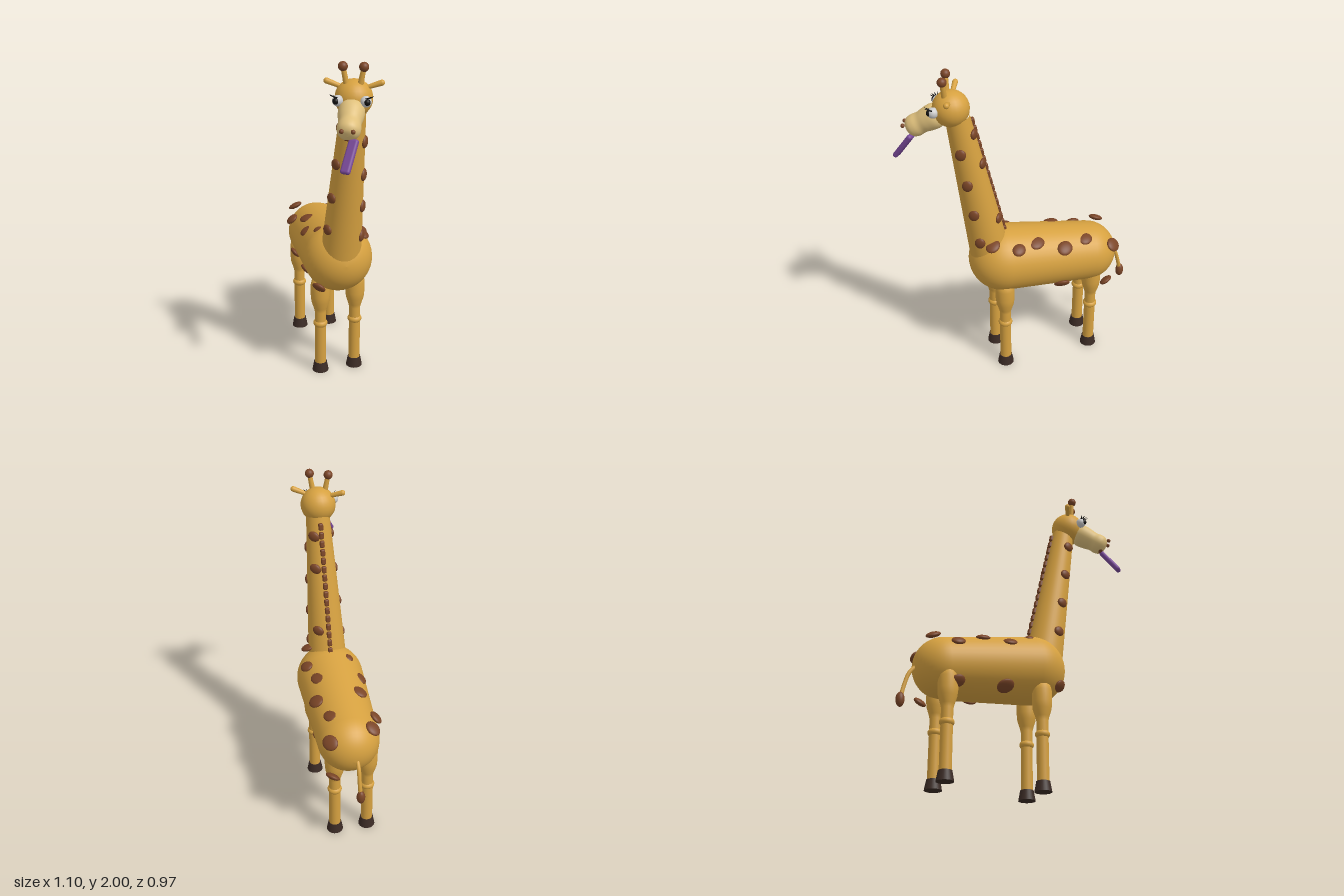
import * as THREE from 'three';
import { RoundedBoxGeometry } from 'three/addons/geometries/RoundedBoxGeometry.js';

const V = (x, y, z) => new THREE.Vector3(x, y, z);
const UP = V(0, 1, 0);
const mat = (color) => new THREE.MeshStandardMaterial({ color });

export function createModel() {
  const model = new THREE.Group();
  const coat = mat(0xd6a140), brown = mat(0x7a4527), hoofMat = mat(0x3b2b25);
  const cream = mat(0xdfc07c), purple = mat(0x7a4a9a), white = mat(0xeeeeee), black = mat(0x111111);

  const add = (name, geometry, material, pos, parent = model) => {
    const mesh = new THREE.Mesh(geometry, material);
    mesh.name = name;
    mesh.position.copy(pos);
    parent.add(mesh);
    return mesh;
  };
  const aim = (mesh, dir) => {
    mesh.quaternion.setFromUnitVectors(UP, dir.clone().normalize());
    return mesh;
  };
  const ball = (name, r, material, pos, parent) =>
    add(name, new THREE.SphereGeometry(r, 24, 16), material, pos, parent);
  // Tapered capsule between two sphere centres
  const limb = (name, a, b, ra, rb, material, parent) => {
    const d = b.clone().sub(a), len = d.length(), pts = [], n = 12;
    const tilt = Math.asin((ra - rb) / len);
    for (let i = 0; i <= n; i++) {
      const t = -Math.PI / 2 + (i / n) * (Math.PI / 2 + tilt);
      pts.push(new THREE.Vector2(Math.max(0, ra * Math.cos(t)), ra * Math.sin(t)));
    }
    for (let i = 0; i <= n; i++) {
      const t = tilt + (i / n) * (Math.PI / 2 - tilt);
      pts.push(new THREE.Vector2(Math.max(0, rb * Math.cos(t)), len + rb * Math.sin(t)));
    }
    return aim(add(name, new THREE.LatheGeometry(pts, 40), material, a, parent), d);
  };
  // Flattened oval patch lying across a normal
  const patch = (name, pos, normal, r, thick = 0.017) => {
    const m = aim(ball(name, 1, brown, pos), normal);
    m.scale.set(r, thick, r * 0.86);
    return m;
  };

  // Body
  const rump = V(-0.31, 0.69, -0.27), chest = V(0.125, 0.755, 0.045);
  limb('body', rump, chest, 0.182, 0.205, coat);

  // Neck
  const neckLow = V(0.185, 0.8, 0.09), neckHigh = V(0.335, 1.75, 0.175);
  const neckDir = neckHigh.clone().sub(neckLow);
  const neckLen = neckDir.length();
  const neckR = (t) => 0.12 - 0.052 * t;
  const neckPts = [];
  for (let i = 0; i <= 8; i++) neckPts.push(new THREE.Vector2(neckR(i / 8), (i / 8) * neckLen));
  aim(add('neck', new THREE.LatheGeometry(neckPts, 40), coat, neckLow), neckDir);
  // Point on the neck surface at a height and heading
  const onNeck = (y, hx, hz, lift = 0) => {
    const t = (y - neckLow.y) / (neckHigh.y - neckLow.y);
    const out = V(hx, 0, hz).normalize();
    return { out, pos: neckLow.clone().lerp(neckHigh, t).addScaledVector(out, neckR(t) + lift) };
  };

  // Mane
  for (let i = 0; i < 16; i++) {
    const { pos } = onNeck(0.96 + i * 0.05, -0.82, -0.57, 0.004);
    const tuft = aim(add('maneTuft', new RoundedBoxGeometry(0.028, 0.042, 0.028, 3, 0.009), brown, pos), neckDir);
    tuft.rotateY(0.967);
  }

  // Neck patches: front right row, left row, back row
  const neckRows = [
    [-0.28, 0.96, [1.0, 1.205, 1.415, 1.63]],
    [1, -0.4, [0.95, 1.145, 1.345, 1.545]],
    [-0.35, -0.94, [1.08, 1.46, 1.65]],
  ];
  for (const [hx, hz, heights] of neckRows)
    for (const y of heights) {
      const { pos, out } = onNeck(y, hx, hz);
      patch('neckPatch', pos, out, 0.036);
    }

  // Body patches: x, y, z, radius
  const patches = [
    [-0.335, 0.79, -0.45, 0.05], [-0.22, 0.845, -0.32, 0.048], [-0.465, 0.835, -0.235, 0.048],
    [-0.385, 0.8, -0.115, 0.044], [-0.215, 0.87, -0.065, 0.048], [-0.065, 0.845, -0.28, 0.05],
    [0.04, 0.89, -0.145, 0.054], [0.17, 0.895, -0.115, 0.043], [-0.11, 0.855, 0.055, 0.048],
    [0.025, 0.915, 0.1, 0.034], [0.27, 0.93, 0, 0.046], [0.14, 0.625, 0.235, 0.043],
    [-0.37, 0.565, -0.125, 0.044], [-0.13, 0.58, 0.035, 0.052], [-0.065, 0.575, -0.265, 0.05],
    [-0.325, 0.51, -0.42, 0.045],
  ];
  const spine = new THREE.Line3(rump, chest);
  for (const [x, y, z, r] of patches) {
    const pos = V(x, y, z);
    const normal = pos.clone().sub(spine.closestPointToPoint(pos, true, V(0, 0, 0)));
    if (normal.y > 0) normal.y *= 1.8;
    patch('bodyPatch', pos, normal, r);
  }

  // Legs
  const legProfile = [
    [0.035, 0.05], [0.034, 0.41], [0.04, 0.435], [0.054, 0.48], [0.058, 0.52],
    [0.058, 0.59], [0.05, 0.622], [0.03, 0.642], [0, 0.65],
  ].map(([r, y]) => new THREE.Vector2(r, y));
  const legs = [
    ['frontRightLeg', 0.078, 0.15], ['frontLeftLeg', 0.2, -0.03],
    ['backRightLeg', -0.385, -0.18], ['backLeftLeg', -0.27, -0.345],
  ];
  for (const [name, x, z] of legs) {
    const leg = new THREE.Group();
    leg.name = name;
    leg.position.set(x, 0, z);
    model.add(leg);
    add('shank', new THREE.LatheGeometry(legProfile, 28), coat, V(0, 0, 0), leg);
    ball('knee', 0.043, coat, V(0, 0.33, 0), leg).scale.y = 0.68;
    add('hoof', new THREE.CylinderGeometry(0.039, 0.05, 0.06, 28), hoofMat, V(0, 0.03, 0), leg);
  }

  // Tail
  const tailCurve = new THREE.CatmullRomCurve3([
    V(-0.44, 0.69, -0.345), V(-0.485, 0.63, -0.375), V(-0.505, 0.56, -0.39), V(-0.523, 0.47, -0.4)]);
  add('tail', new THREE.TubeGeometry(tailCurve, 20, 0.012, 10), coat, V(0, 0, 0));
  ball('tailTuft', 0.025, brown, V(-0.525, 0.462, -0.4)).scale.y = 1.75;

  // Head, turned towards the front
  const head = new THREE.Group();
  head.name = 'head';
  head.position.set(0.355, 1.8, 0.2);
  head.rotation.y = 0.55;
  model.add(head);
  ball('skull', 0.102, coat, V(0, 0, 0), head);

  // Muzzle with slightly pinched middle
  const muzzlePts = new THREE.SplineCurve([
    [0, 0], [0.05, 0.005], [0.07, 0.04], [0.067, 0.09], [0.06, 0.13],
    [0.063, 0.165], [0.057, 0.195], [0.035, 0.216], [0, 0.222],
  ].map(([r, y]) => new THREE.Vector2(r, y))).getPoints(36);
  muzzlePts.forEach((p) => { p.x = Math.max(0, p.x); });
  muzzlePts[0].x = muzzlePts[36].x = 0;
  aim(add('muzzle', new THREE.LatheGeometry(muzzlePts, 32), cream, V(0, -0.025, 0.05), head), V(0, -0.5, 0.87));

  for (const s of [-1, 1]) {
    ball('nostril', 0.012, brown, V(s * 0.03, -0.103, 0.262), head);
    // Eye with lashes
    ball('eye', 0.03, white, V(s * 0.073, 0.005, 0.083), head);
    ball('pupil', 0.018, black, V(s * 0.081, 0.007, 0.101), head);
    for (let i = 0; i < 4; i++) {
      const a = s * (0.1 + i * 0.45);
      const dir = V(Math.sin(a), 0.45, Math.cos(a));
      const pos = V(s * 0.073, 0.017, 0.083).addScaledVector(dir.clone().normalize(), 0.035);
      aim(add('eyelash', new THREE.ConeGeometry(0.005, 0.032, 6), black, pos, head), dir);
    }
    // Ear and horn
    limb('ear', V(s * 0.07, 0.06, 0), V(s * 0.145, 0.086, -0.004), 0.012, 0.016, coat, head);
    limb('horn', V(s * 0.036, 0.075, 0.025), V(s * 0.054, 0.17, 0.03), 0.016, 0.013, coat, head);
    ball('hornTip', 0.026, brown, V(s * 0.055, 0.174, 0.031), head);
  }

  // Mouth line and tongue
  ball('mouth', 0.03, brown, V(0, -0.158, 0.2), head).scale.set(1, 0.45, 0.8);
  const tongue = add('tongue', new RoundedBoxGeometry(0.056, 0.19, 0.03, 4, 0.0145), purple, V(0.507, 1.568, 0.422));
  aim(tongue, V(-0.025, 0.145, -0.105)).rotateY(0.2);

  return model;
}
